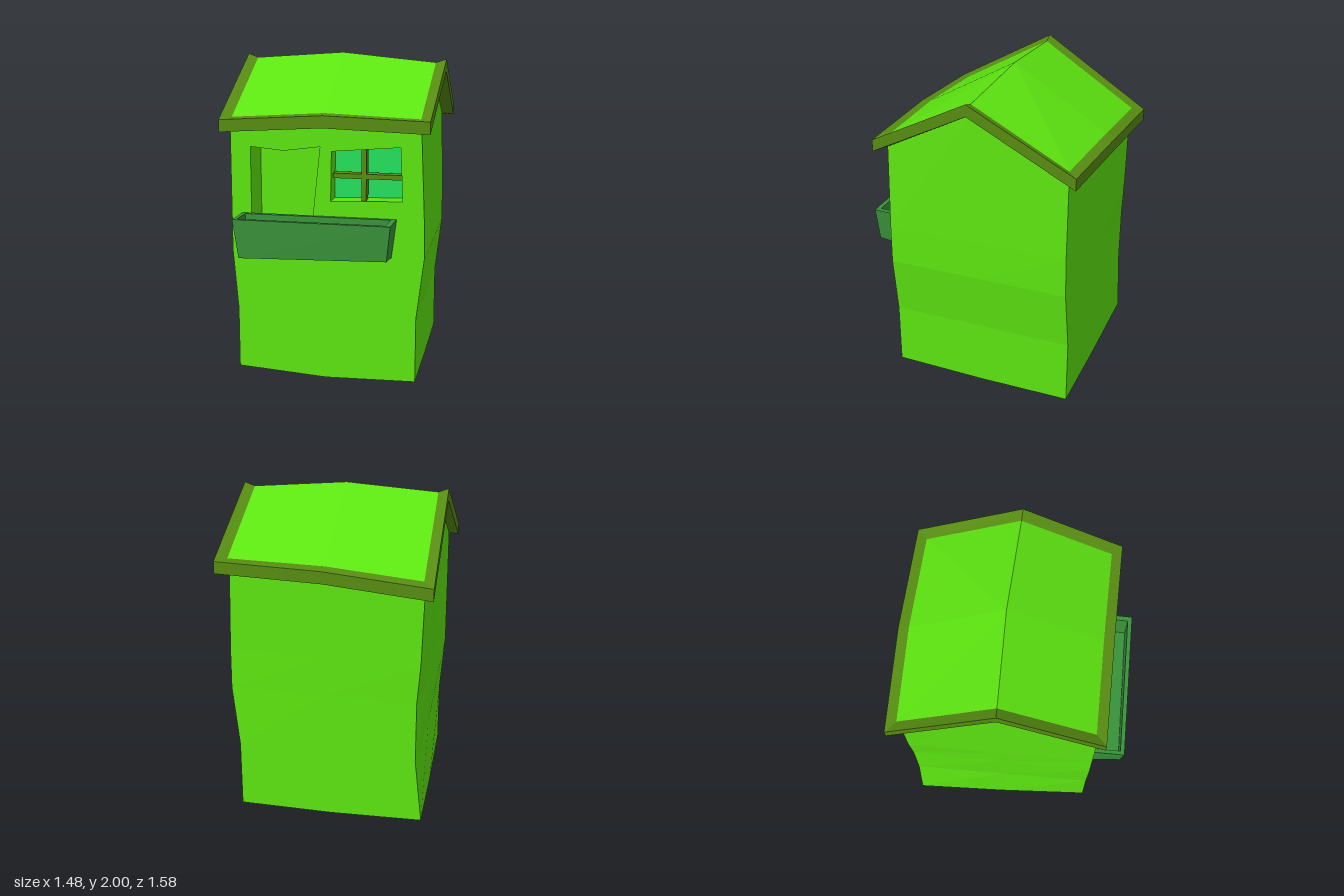
import * as THREE from 'three';

const mat = (name, color, side = THREE.FrontSide) => {
  const m = new THREE.MeshStandardMaterial({ color, side });
  m.name = name;
  return m;
};

// Surface made of flat triangles
function facets(tris) {
  const g = new THREE.BufferGeometry();
  g.setAttribute('position', new THREE.Float32BufferAttribute(tris.flat(2), 3));
  g.computeVertexNormals();
  return g;
}
// Band of quads between two rings (counter-clockwise from above)
function band(low, high, closed = true) {
  const tris = [], n = low.length;
  for (let i = 0; i < (closed ? n : n - 1); i++) {
    const j = (i + 1) % n;
    tris.push([low[i], low[j], high[j]], [low[i], high[j], high[i]]);
  }
  return tris;
}
// Fan filling a ring from a middle point
function fan(ring, c, flip = false) {
  c = c || [0, 1, 2].map(k => ring.reduce((s, p) => s + p[k], 0) / ring.length);
  return ring.map((p, i) => {
    const q = ring[(i + 1) % ring.length];
    return flip ? [c, q, p] : [c, p, q];
  });
}
const mix = (a, b, t) => a.map((v, i) => v + (b[i] - v) * t);

export function createModel() {
  const green = mat('leaf green', 0x5ce310);
  const brown = mat('olive trim', 0x568b12);
  const dark = mat('planter green', 0x39923a);
  const aqua = mat('aqua glass', 0x24e05c);
  const model = new THREE.Group();
  const add = (name, geo, m, parent = model) => {
    const mesh = new THREE.Mesh(geo, m);
    mesh.name = name;
    parent.add(mesh);
    return mesh;
  };

  // The front wall lies in a slightly turned plane
  const frontZ = x => 0.505 - 0.15 * (x - 0.1);
  const onFront = ([x, y], d = 0) => [x - 0.148 * d, y, frontZ(x) - 0.989 * d];

  // Wobbly wall corners at five heights
  const levels = [0, 0.42, 0.8, 1.05, 0];
  const FLx = [-0.46, -0.46, -0.49, -0.49, -0.49];
  const FRx = [0.655, 0.655, 0.7, 0.695, 0.67];
  const BLx = [-0.68, -0.635, -0.635, -0.655, -0.67];
  const BRx = [0.47, 0.47, 0.515, 0.515, 0.5];
  const BRz = [-0.73, -0.73, -0.725, -0.72, -0.715];
  // order: FR, right middle, BR, back middle, BL, left middle, FL
  const footY = [0.015, 0, 0, 0, 0.02, 0, 0.035];
  const topY = [1.61, 1.9, 1.59, 1.59, 1.53, 1.92, 1.59];
  const rings = levels.map((y, k) => {
    const fl = [FLx[k], y, frontZ(FLx[k])], fr = [FRx[k], y, frontZ(FRx[k])];
    const bl = [BLx[k], y, -0.57], br = [BRx[k], y, BRz[k]];
    const ring = [fr, mix(fr, br, 0.5), br, mix(br, bl, 0.5), bl, mix(bl, fl, 0.5), fl];
    return ring.map((p, i) => [p[0], k === 0 ? footY[i] : k === 4 ? topY[i] : y, p[2]]);
  });
  const sides = [];
  for (let k = 0; k < 4; k++) sides.push(...band(rings[k], rings[k + 1], false));
  add('walls', facets(sides), green);
  const footMid = onFront([0.1, 0]);
  add('base', facets(fan([...rings[0], footMid], [0, 0, -0.07], true)), green);

  // Front wall with two openings
  const niche = [[-0.365, 0.9], [0.005, 0.9], [0.065, 1.465], [-0.16, 1.435], [-0.365, 1.455]];
  const win = [[0.13, 1.135], [0.565, 1.15], [0.55, 1.475], [0.135, 1.44]];
  const v2 = pts => pts.map(p => new THREE.Vector2(p[0], p[1]));
  const outline = [footMid, ...rings.map(r => r[0]), [0.09, 1.63], ...rings.map(r => r[6]).reverse()];
  const shape = new THREE.Shape(v2(outline));
  shape.holes = [niche, win].map(h => new THREE.Path(v2(h)));
  const wall = new THREE.ShapeGeometry(shape);
  const pos = wall.attributes.position;
  for (let i = 0; i < pos.count; i++) pos.setZ(i, frontZ(pos.getX(i)));
  wall.computeVertexNormals();
  add('frontWall', wall, green);

  // Recesses behind the openings
  for (const [name, hole, depth, backMat] of [['niche', niche, 0.22, green], ['window', win, 0.12, aqua]]) {
    const back = hole.map(p => onFront(p, depth));
    add(name + 'Reveal', facets(band(hole.map(p => onFront(p)), back)), green);
    add(name + 'Back', facets(fan(back)), backMat);
  }

  // Window bars
  for (const [name, w, h, x, y] of [['uprightBar', 0.03, 0.335, 0.328, 1.3], ['crossBar', 0.425, 0.03, 0.35, 1.29]]) {
    const bar = add(name, new THREE.BoxGeometry(w, h, 0.07), brown);
    bar.position.set(...onFront([x, y], 0.055));
    bar.rotation.y = Math.atan(0.15);
  }

  // Roof: a bent grid of back, ridge and front lines, each left to right
  const grid = [
    [[-0.74, 1.55, -0.64], [-0.1, 1.61, -0.73], [0.565, 1.62, -0.79]],
    [[-0.63, 1.985, 0.02], [0, 2.025, -0.075], [0.67, 1.965, -0.14]],
    [[-0.54, 1.62, 0.65], [0.1, 1.66, 0.56], [0.74, 1.64, 0.48]],
  ];
  const roofPoint = (u, v, h) => {
    const along = row => mix(row[1], row[u < 0 ? 0 : 2], Math.abs(u));
    const p = mix(along(grid[1]), along(grid[v < 0 ? 0 : 2]), Math.abs(v));
    return [p[0], p[1] + h, p[2]];
  };
  const loop = [[-1, 1], [0, 1], [1, 1], [1, 0], [1, -1], [0, -1], [-1, -1], [-1, 0]];
  const roofRing = (s, h) => loop.map(([u, v]) => roofPoint(u * s, v * s, h));
  const edge = roofRing(1, 0), under = roofRing(1, -0.075);
  const panel = roofRing(0.9, -0.028), soffit = roofRing(0.9, -0.095);
  const roof = new THREE.Group();
  roof.name = 'roof';
  model.add(roof);
  add('roofPanels', facets(fan(panel, roofPoint(0, 0, -0.025))), green, roof);
  add('roofTrim', facets([
    ...band(edge, panel), ...band(under, edge), ...band(soffit, under),
    ...fan(soffit, roofPoint(0, 0, -0.1), true),
  ]), brown, roof);

  // Hollow flower box on the front wall
  const foot = [[-0.365, 0.8, 0.77], [0.53, 0.825, 0.635], [0.5, 0.8, 0.435], [-0.41, 0.8, 0.57]];
  const rim = [[-0.395, 1.04, 0.785], [0.555, 1.04, 0.645], [0.53, 1.04, 0.435], [-0.425, 1.04, 0.575]];
  const inner = [[-0.375, 1.04, 0.755], [0.52, 1.04, 0.622], [0.5, 1.04, 0.468], [-0.395, 1.04, 0.605]];
  const floor = inner.map(([x, , z]) => [x * 0.97, 0.87, z]);
  add('flowerBox', facets([
    ...fan(foot, null, true), ...band(foot, rim), ...band(rim, inner),
    ...band(inner, floor), ...fan(floor),
  ]), dark);

  return model;
}
